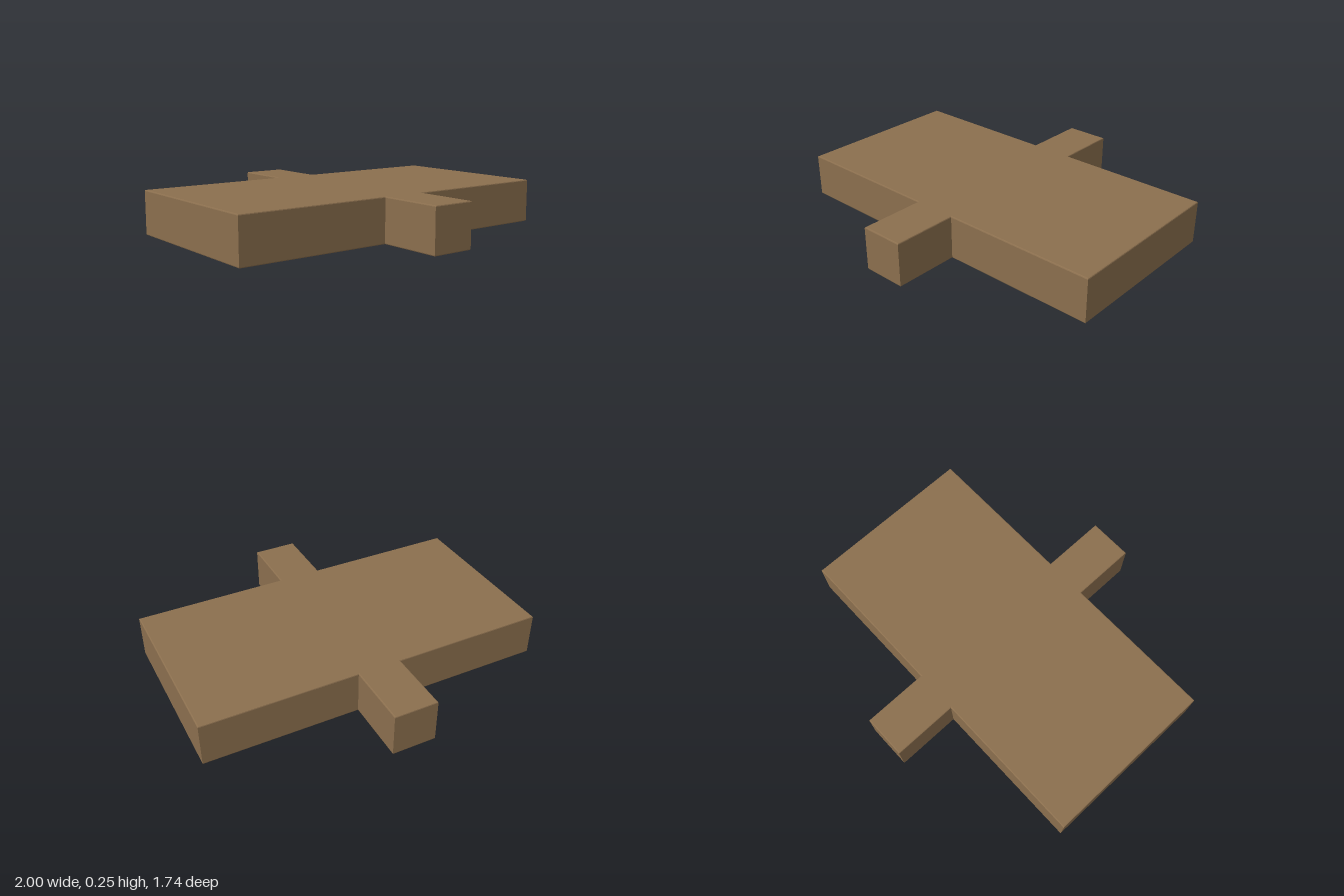
import * as THREE from 'three';

export function createModel() {
  const group = new THREE.Group();
  group.name = 'slabWithTabs';
  const material = new THREE.MeshStandardMaterial({ color: 0x8b6f4e });

  // Plan outline: a wide slab with a narrow tab at the middle of each long side
  const halfWidth = 1, halfDepth = 0.5, tabHalfWidth = 0.125, tabEnd = 0.87;
  const quarter = [
    [halfWidth, halfDepth], [tabHalfWidth, halfDepth], [tabHalfWidth, tabEnd],
  ];
  const mirrored = [...quarter].reverse();
  const outline = [
    ...quarter,
    ...mirrored.map(([x, z]) => [-x, z]),
    ...quarter.map(([x, z]) => [-x, -z]),
    ...mirrored.map(([x, z]) => [x, -z]),
  ].map(([x, z]) => new THREE.Vector2(x, z));

  // Solid body with slightly softened top and bottom edges
  const bevel = 0.006, bottom = 0.005, height = 0.252;
  const geometry = new THREE.ExtrudeGeometry(new THREE.Shape(outline), {
    depth: height - 2 * bevel,
    bevelEnabled: true,
    bevelSize: bevel,
    bevelThickness: bevel,
    bevelOffset: -bevel,
    bevelSegments: 2,
  });
  geometry.rotateX(-Math.PI / 2);
  geometry.translate(0, bottom + bevel, 0);

  const slab = new THREE.Mesh(geometry, material);
  slab.name = 'slab';
  group.add(slab);
  return group;
}
